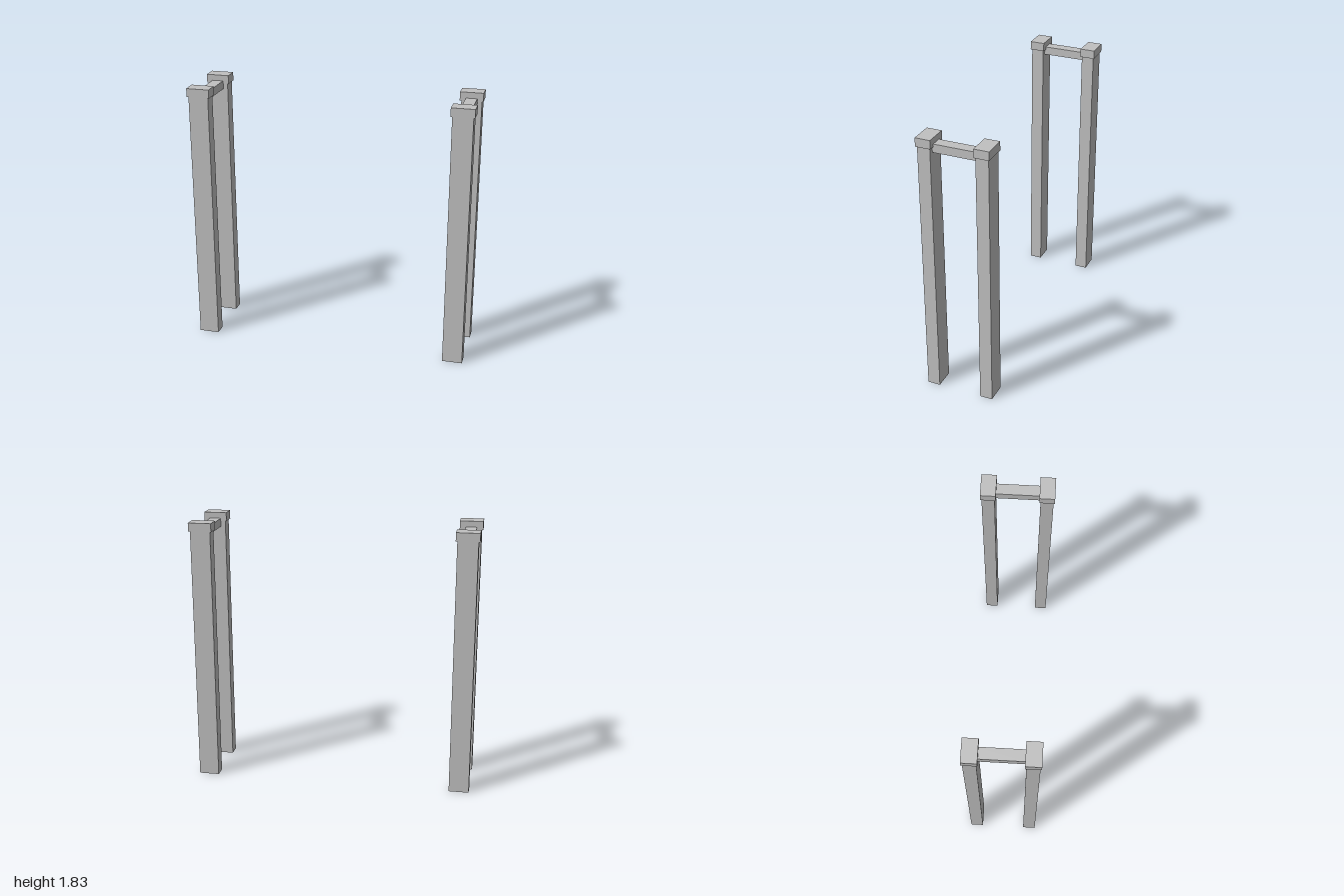
import * as THREE from 'three';

const stone = new THREE.MeshStandardMaterial({ color: 0xc0c0c0, side: THREE.DoubleSide });
stone.name = 'light grey stone';

const SPAN = 0.387; // distance between the two columns of a pair

function box(name, w, h, d, y, z) {
  const mesh = new THREE.Mesh(new THREE.BoxGeometry(w, h, d), stone);
  mesh.name = name;
  mesh.position.set(0, y, z);
  return mesh;
}

// Hollow column: a box without its top and bottom faces
function column(name, z) {
  const mesh = box(name, 0.138, 1.767, 0.086, 0.8835, z);
  const index = Array.from(mesh.geometry.index.array);
  mesh.geometry.setIndex([...index.slice(0, 12), ...index.slice(24)]);
  mesh.geometry.clearGroups();
  return mesh;
}

// Two capped columns joined by a beam along z
function columnPair(name) {
  const pair = new THREE.Group();
  pair.name = name;
  for (const [end, side] of [['front', 1], ['back', -1]]) {
    const z = side * SPAN / 2;
    pair.add(column(end + 'Column', z));
    pair.add(box(end + 'Cap', 0.158, 0.059, 0.102, 1.7965, z));
  }
  pair.add(box('beam', 0.076, 0.057, SPAN - 0.08, 1.757, 0));
  return pair;
}

export function createModel() {
  const model = new THREE.Group();
  model.name = 'columnPairs';
  // Both pairs are turned by ten degrees and offset in opposite directions
  for (const [name, side] of [['leftPair', 1], ['rightPair', -1]]) {
    const pair = columnPair(name);
    pair.position.set(side * 0.88, 0, side * -0.155);
    pair.rotation.y = THREE.MathUtils.degToRad(10);
    model.add(pair);
  }
  return model;
}
